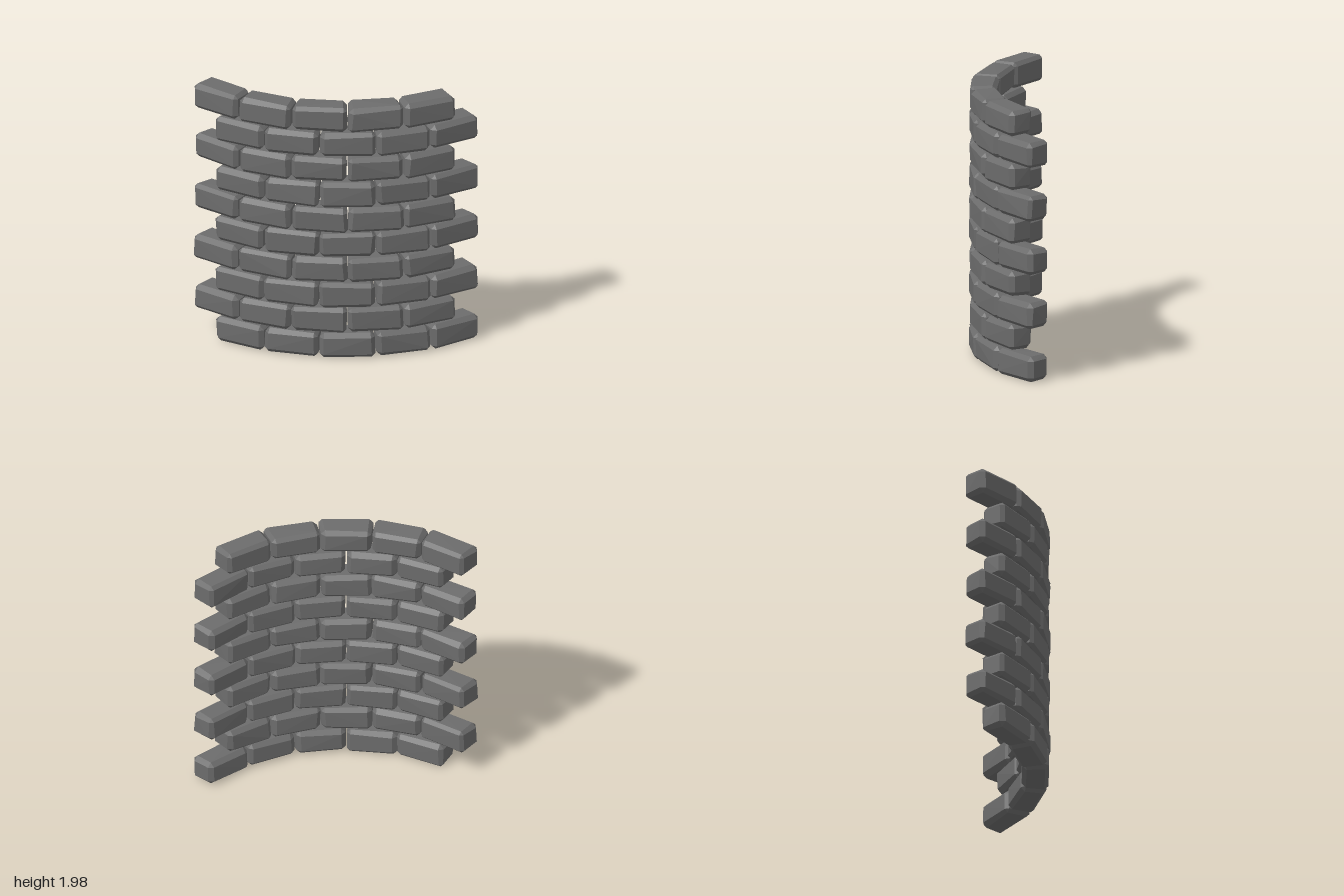
import * as THREE from 'three';
import { ConvexGeometry } from 'three/addons/geometries/ConvexGeometry.js';

const ROWS = 10, PER_ROW = 5;
const CENTRE = 0.77;             // arc centre lies at (+CENTRE, -CENTRE)
const R_IN = 1.303, R_OUT = 1.508; // inner and outer wall radius
const STEP = 16;                 // degrees covered by one brick
const RAD = Math.PI / 180;

// Small seeded random, -1..1
function makeRandom(seed) {
  let s = seed;
  return () => {
    s = (s * 16807) % 2147483647;
    return (s / 2147483647) * 2 - 1;
  };
}

// Point on the arc plan: angle runs from +z towards -x
function arcPoint(r, deg, y) {
  return new THREE.Vector3(CENTRE - r * Math.sin(deg * RAD), y, -CENTRE + r * Math.cos(deg * RAD));
}

// Wedge-shaped brick with chamfered edges and slightly uneven corners
function brickGeometry(deg, y, rnd) {
  const points = [];
  const halfH = 0.098, halfA = 7.95, midR = (R_IN + R_OUT) / 2, halfR = (R_OUT - R_IN) / 2;
  for (const i of [-1, 1]) for (const j of [-1, 1]) for (const k of [-1, 1]) {
    // uneven corner, only ever pulled inwards
    const h = halfH - 0.005 * (1 + rnd());
    const a = halfA - 0.15 * (1 + rnd());
    const r = halfR - 0.004 * (1 + rnd());
    const b = 0.029 + 0.006 * rnd();
    const bA = b / midR / RAD;
    // one point for each of the three faces meeting at this corner
    for (let face = 0; face < 3; face++) {
      const dr = face === 0 ? r : r - b;
      const dy = face === 1 ? h : h - b;
      const da = face === 2 ? a : a - bA;
      points.push(arcPoint(midR + i * dr, deg + k * da, y + j * dy));
    }
  }
  return new ConvexGeometry(points);
}

export function createModel() {
  const stone = new THREE.MeshStandardMaterial({ color: 0x6c6c6c, flatShading: true });
  stone.name = 'grey stone';
  const wall = new THREE.Group();
  wall.name = 'curvedBrickWall';
  const rnd = makeRandom(4711);

  // Running bond: every other course is shifted by half a brick
  for (let row = 0; row < ROWS; row++) {
    const course = new THREE.Group();
    course.name = 'course' + (row + 1);
    const start = row % 2 ? 9 : 1;
    const y = 0.107 + row * 0.1988;
    for (let n = 0; n < PER_ROW; n++) {
      const brick = new THREE.Mesh(brickGeometry(start + (n + 0.5) * STEP + 0.15 * rnd(), y, rnd), stone);
      brick.name = 'brick' + (n + 1);
      course.add(brick);
    }
    wall.add(course);
  }

  // Stand on the ground
  wall.position.y = -new THREE.Box3().setFromObject(wall).min.y;
  return wall;
}
